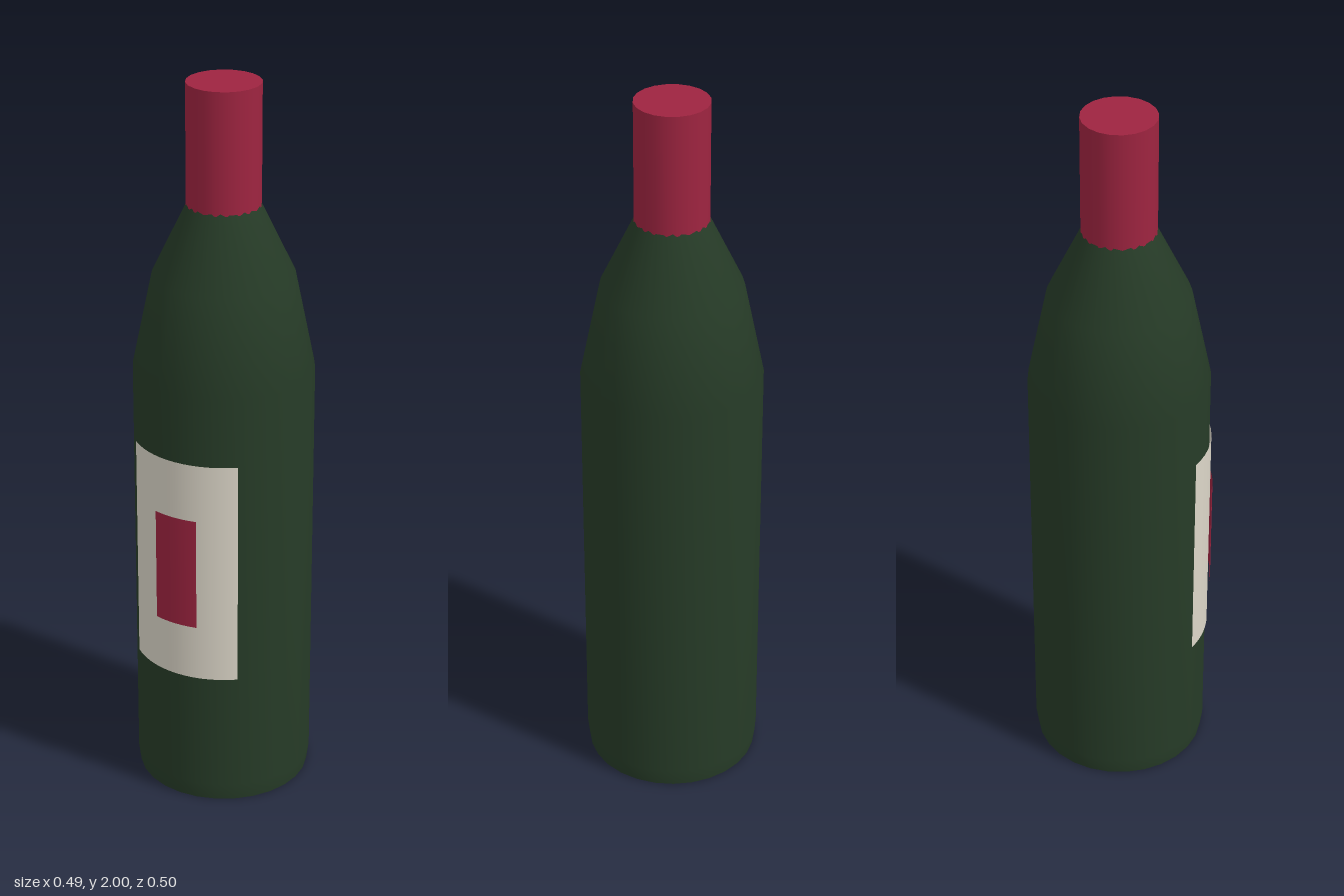
import * as THREE from 'three';

export function createModel() {
  const material = (name, color) => {
    const m = new THREE.MeshStandardMaterial({ color, side: THREE.DoubleSide });
    m.name = name;
    return m;
  };
  const green = material('darkGreenGlass', 0x263b27);
  const red = material('wineRed', 0x9e2440);
  const cream = material('creamPaper', 0xdcd6c8);

  // Everything is set back slightly so the raised label stays within bounds
  const bottle = new THREE.Group();
  bottle.name = 'bottle';
  bottle.position.z = -0.006;

  const add = (name, geometry, mat, y = 0) => {
    const mesh = new THREE.Mesh(geometry, mat);
    mesh.name = name;
    mesh.position.y = y;
    bottle.add(mesh);
    return mesh;
  };

  // Glass body: bevelled foot, straight wall, two-step shoulder, neck inside the foil
  const profile = [
    [0.237, 0], [0.2437, 0.05], [0.2437, 1.22], [0.19, 1.48], [0.099, 1.67], [0.09, 1.72], [0.09, 1.95],
  ].map(([r, y]) => new THREE.Vector2(r, y));
  add('glassBody', new THREE.LatheGeometry(profile, 28), green);
  add('base', new THREE.CircleGeometry(0.237, 28), green).rotation.x = Math.PI / 2;

  // Foil over the neck
  add('neckFoil', new THREE.CylinderGeometry(0.099, 0.099, 0.33, 20), red, 1.835);

  // Curved paper patches facing the front
  const patch = (radius, height, halfAngle, segments) =>
    new THREE.CylinderGeometry(radius, radius, height, segments, 1, true, -halfAngle, 2 * halfAngle);
  add('label', patch(0.248, 0.64, 0.695, 14), cream, 0.71);
  add('labelPanel', patch(0.2545, 0.32, 0.25, 6), red, 0.71);

  const model = new THREE.Group();
  model.name = 'wineBottle';
  model.add(bottle);
  return model;
}
